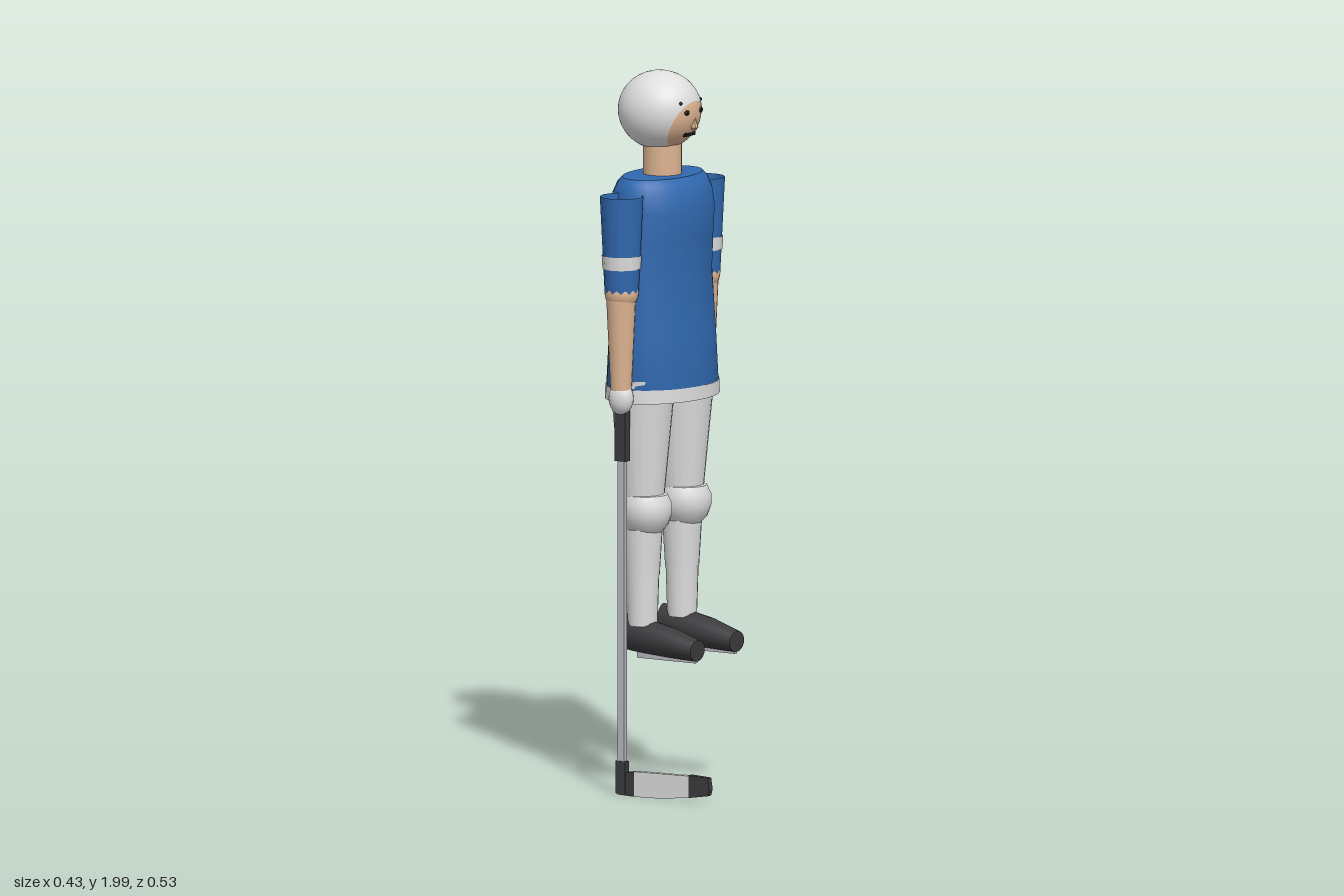
import * as THREE from 'three';
import { toCreasedNormals } from 'three/addons/utils/BufferGeometryUtils.js';

const mat = (name, color) => Object.assign(new THREE.MeshStandardMaterial({ color }), { name });

// Closed skin through elliptical rings [height, radiusX, radiusZ, offsetX]
function loft(rings, sides = 24) {
  const geo = new THREE.LatheGeometry(rings.map((r, i) => new THREE.Vector2(1, i)), sides);
  const p = geo.attributes.position;
  for (let k = 0; k < p.count; k++) {
    const [y, rx, rz, cx = 0] = rings[k % rings.length];
    p.setXYZ(k, p.getX(k) * rx + cx, y, p.getZ(k) * rz);
  }
  return toCreasedNormals(geo, 0.7);
}

export function createModel() {
  const group = new THREE.Group();
  group.name = 'hockeyPlayer';
  const blue = mat('jerseyBlue', 0x3069b0);
  blue.side = THREE.DoubleSide;
  const white = mat('white', 0xdedede);
  white.side = THREE.DoubleSide;
  const skin = mat('skin', 0xdeb491);
  const dark = mat('darkGrey', 0x3b3b3e);
  const metal = mat('shaftGrey', 0xb9b9c2);
  const black = mat('black', 0x151515);

  const CX = -0.075; // body axis; the player looks along +x
  const add = (name, geo, material, x = 0, y = 0, z = 0, parent = group) => {
    const m = new THREE.Mesh(geo, material);
    m.name = name;
    m.position.set(x, y, z);
    parent.add(m);
    return m;
  };
  const ball = (rx, ry, rz) => new THREE.SphereGeometry(1, 24, 16).scale(rx, ry, rz);
  const tube = (top, bottom, h, sides = 20, open = false) =>
    new THREE.CylinderGeometry(top, bottom, h, sides, 1, open);

  // Jersey and its hem
  add('jersey', loft([
    [1.125, 0, 0], [1.125, 0.136, 0.188], [1.135, 0.137, 0.19], [1.28, 0.127, 0.188], [1.44, 0.113, 0.183],
    [1.55, 0.12, 0.181], [1.62, 0.127, 0.179], [1.67, 0.118, 0.175],
    [1.70, 0.104, 0.163], [1.714, 0.091, 0.148], [1.714, 0, 0],
  ], 28), blue, CX);
  add('jerseyHem', loft([[1.098, 0.14, 0.195], [1.136, 0.139, 0.194]], 28), white, CX);

  // Neck and head: the face is a cap of the head, the helmet the rest
  add('neck', tube(0.054, 0.054, 0.12), skin, CX, 1.75);
  const HX = -0.083, HY = 1.89, RX = 0.118, R = 0.11;
  const cap = 0.72, tilt = 0.42;
  const headPart = (start, length, s) => new THREE.SphereGeometry(s, 36, 24, 0, Math.PI * 2, start, length)
    .rotateZ(-Math.PI / 2 - tilt).scale(RX, R, R);
  add('helmet', headPart(cap, Math.PI - cap, 1), white, HX, HY);
  add('face', headPart(0, cap + 0.06, 0.985), skin, HX, HY);

  // Facial features sit on the head surface
  const faceX = (y, z) => HX + RX * 0.985 * Math.sqrt(Math.max(0, 1 - ((y - HY) ** 2 + z * z) / (R * R)));
  for (const s of [1, -1]) {
    add('eye', ball(0.005, 0.007, 0.011), black, faceX(1.894, 0.034), 1.894, s * 0.034);
    add('helmetRivet', ball(0.004, 0.005, 0.005), black, faceX(1.921, 0.05) + 0.002, 1.921, s * 0.05);
  }
  add('nose', loft([[-0.026, 0, 0], [-0.012, 0.012, 0.011], [0.026, 0, 0]], 8), skin, faceX(1.862, 0), 1.862, 0);
  add('mouth', new THREE.BoxGeometry(0.009, 0.01, 0.05), black, faceX(1.83, 0.02), 1.83, 0);

  for (const s of [1, -1]) {
    // Arm with an open sleeve
    const arm = new THREE.Group();
    arm.name = s > 0 ? 'rightArm' : 'leftArm';
    arm.position.set(CX, 0, s * 0.207);
    group.add(arm);
    add('sleeve', tube(0.06, 0.047, 0.267, 12, true), blue, 0, 1.5435, 0, arm);
    add('sleeveStripe', tube(0.055, 0.053, 0.037, 12, true), white, 0, 1.4945, 0, arm);
    add('elbow', ball(0.047, 0.047, 0.047), skin, 0, 1.408, 0, arm);
    add('forearm', tube(0.041, 0.029, 0.26), skin, 0, 1.27, s * 0.003, arm);
    add('glove', ball(0.036, 0.046, 0.03), white, 0, 1.115, s * 0.003, arm);

    // Leg
    const leg = new THREE.Group();
    leg.name = s > 0 ? 'rightLeg' : 'leftLeg';
    leg.position.set(CX, 0, s * 0.1);
    group.add(leg);
    add('thigh', tube(0.092, 0.057, 0.36), white, 0, 0.98, 0, leg);
    add('knee', loft([[0.73, 0, 0, 0.012], [0.732, 0.045, 0.045, 0.01], [0.75, 0.06, 0.06, 0.012],
      [0.78, 0.07, 0.072, 0.012], [0.81, 0.07, 0.072, 0.012], [0.835, 0.06, 0.062, 0.01],
      [0.845, 0, 0, 0.01]]), white, 0, 0, 0, leg);
    add('calf', tube(0.055, 0.047, 0.13), white, 0, 0.675, 0, leg);
    add('shin', tube(0.046, 0.041, 0.16), white, 0, 0.55, 0, leg);

    // Tapered skate boot, lofted along x, with a thin runner
    const boot = loft([
      [-0.135, 0, 0, -0.45], [-0.135, 0.05, 0.036, -0.449], [-0.1, 0.051, 0.043, -0.445],
      [0.02, 0.042, 0.045, -0.428], [0.104, 0.029, 0.037, -0.412], [0.104, 0, 0, -0.412],
    ], 16).rotateZ(-Math.PI / 2);
    add('boot', boot, dark, -CX, 0, 0, leg);
    add('runner', new THREE.BoxGeometry(0.19, 0.016, 0.012), metal, 0.08, 0.386, 0, leg);
  }

  // Hockey stick
  const stick = new THREE.Group();
  stick.name = 'stick';
  stick.position.set(CX, 0, 0.204);
  group.add(stick);
  add('shaft', new THREE.BoxGeometry(0.022, 0.9, 0.014), metal, 0, 0.54, 0, stick);
  add('grip', new THREE.BoxGeometry(0.034, 0.15, 0.024), dark, 0, 1.015, 0, stick);
  add('heelTape', new THREE.BoxGeometry(0.032, 0.09, 0.02), dark, 0, 0.06, 0, stick);

  // Blade cut into heel, face and toe sections
  const slab = (name, points, material) => {
    const shape = new THREE.Shape(points.map(([x, y]) => new THREE.Vector2(x, y)));
    const geo = new THREE.ExtrudeGeometry(shape, { depth: 0.018, bevelEnabled: false });
    add(name, geo.translate(-CX, 0, -0.009), material, 0, 0, 0, stick);
  };
  slab('bladeHeel', [[-0.085, 0.012], [-0.03, 0.01], [-0.03, 0.08], [-0.085, 0.07]], dark);
  slab('bladeFace', [[-0.03, 0.01], [0.05, 0.012], [0.148, 0.022], [0.148, 0.083], [-0.03, 0.08]], white);
  slab('bladeToe', [[0.148, 0.022], [0.21, 0.032], [0.215, 0.05], [0.21, 0.082], [0.148, 0.085]], dark);
  return group;
}
